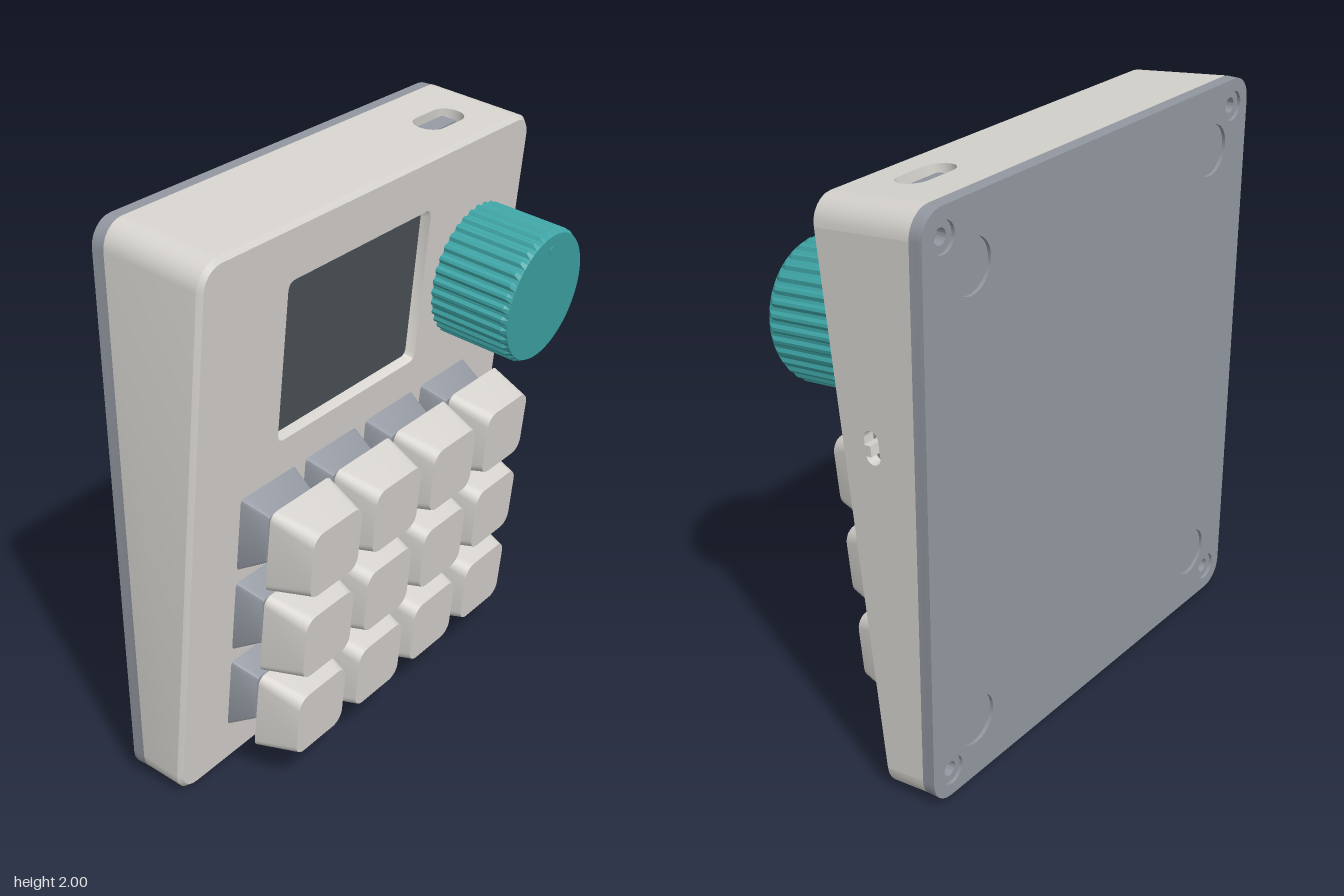
import * as THREE from 'three';
import { toCreasedNormals } from 'three/addons/utils/BufferGeometryUtils.js';

const mat = (name, color) => Object.assign(new THREE.MeshStandardMaterial({ color }), { name });

const TILT = 0.111, Z0 = -0.158;          // lean of the front panel and its foot
const H = 1.97, HW = 0.855, CX = -0.01, R = 0.085; // case height, half width, centre, corner radius
const SEAM = -0.31, BACK = -0.355;        // where the base plate starts and ends

// local depth of the seam plane at panel height v
const seamAt = (v) => (SEAM - Z0 - v * Math.sin(TILT)) / Math.cos(TILT);

// rounded rectangle, counter-clockwise from the +x end of the top right corner
function rect(cx, cy, w, h, r, z = 0, n = 6) {
  const pts = [];
  [[1, 1], [-1, 1], [-1, -1], [1, -1]].forEach(([sx, sy], k) => {
    for (let i = 0; i <= n; i++) {
      const a = (k + i / n) * Math.PI / 2;
      pts.push(new THREE.Vector3(cx + sx * (w / 2 - r) + r * Math.cos(a), cy + sy * (h / 2 - r) + r * Math.sin(a), z));
    }
  });
  return pts;
}

const flat = (pts, Type = THREE.Shape) => new Type(pts.map((p) => new THREE.Vector2(p.x, p.y)));

// skin through loops ordered front to back, with optional end caps and skipped edges
function loft(loops, { caps = false, skip = () => false, crease = 0.5 } = {}) {
  const out = [], n = loops[0].length;
  const tri = (...ps) => ps.forEach((p) => out.push(p.x, p.y, p.z));
  for (let l = 0; l + 1 < loops.length; l++) {
    for (let i = 0; i < n; i++) {
      if (skip(l, i)) continue;
      const j = (i + 1) % n, [a, b] = [loops[l], loops[l + 1]];
      tri(a[i], b[i], a[j]);
      tri(a[j], b[i], b[j]);
    }
  }
  if (caps) {
    [loops[0], loops[loops.length - 1]].forEach((loop, end) => {
      const c = loop.reduce((s, p) => s.add(p), new THREE.Vector3()).divideScalar(n);
      loop.forEach((p, i) => {
        const q = loop[(i + 1) % n];
        if (end) tri(c, q, p); else tri(c, p, q);
      });
    });
  }
  const g = new THREE.BufferGeometry();
  g.setAttribute('position', new THREE.Float32BufferAttribute(out, 3));
  return toCreasedNormals(g, crease);
}

const circle = (x, y, r) => new THREE.Path().absarc(x, y, r, 0, Math.PI * 2, true);

// knurled ring, 4 points per tooth
function knurl(r, groove, z, teeth = 36) {
  return Array.from({ length: teeth * 4 }, (_, i) => {
    const a = (i + 0.5) / (teeth * 4) * Math.PI * 2;
    const d = i % 4 < 2 ? r : r - groove;
    return new THREE.Vector3(Math.cos(a) * d, Math.sin(a) * d, z);
  });
}

export function createModel() {
  const shell = mat('warm grey', 0xd6d3ce);
  const slate = mat('slate grey', 0x9297a0);
  const teal = mat('teal', 0x3ea4a5);
  const glass = mat('dark glass', 0x4a5256);

  const model = new THREE.Group();
  const tilted = new THREE.Group();
  tilted.name = 'tiltedFront';
  tilted.position.z = Z0;
  tilted.rotation.x = TILT;
  model.add(tilted);

  const add = (parent, name, geo, material, x = 0, y = 0, z = 0) => {
    const m = new THREE.Mesh(geo, material);
    m.name = name;
    m.position.set(x, y, z);
    parent.add(m);
    return m;
  };
  const box = (parent, name, material, w, h, d, x, y, z) =>
    add(parent, name, new THREE.BoxGeometry(w, h, d), material, x, y, z);

  // case walls: chamfered rim, then sides running back to the seam
  const rim = 0.015, N = 6;
  const front = rect(CX, H / 2, 2 * HW - 2 * rim, H - 2 * rim, R - rim, 0, N);
  const edge = rect(CX, H / 2, 2 * HW, H, R, -rim, N);
  const seam = edge.map((p) => new THREE.Vector3(p.x, p.y, seamAt(p.y)));
  add(tilted, 'caseWalls', loft([front, edge, seam], {
    skip: (l, i) => l === 1 && (i === N || i === 4 * N + 3),
  }), shell);

  // flat top and left walls, with slots cut through
  const wall = (name, corners, slot) => {
    const shape = new THREE.Shape(corners.map(([x, y]) => new THREE.Vector2(x, y)));
    shape.holes.push(flat(slot, THREE.Path));
    const g = new THREE.ExtrudeGeometry(shape, { depth: 0.04, bevelEnabled: false }).translate(0, 0, -0.04);
    return add(tilted, name, toCreasedNormals(g, 0.5), shell);
  };
  const xr = HW - R;
  const top = wall('topWall',
    [[CX - xr, rim], [CX + xr, rim], [CX + xr, -seamAt(H)], [CX - xr, -seamAt(H)]],
    rect(0.528, 0.171, 0.22, 0.112, 0.0555));
  top.rotation.x = -Math.PI / 2;
  top.position.y = H;
  const side = wall('leftWall',
    [[rim, R], [-seamAt(R), R], [-seamAt(H - R), H - R], [rim, H - R]],
    rect(0.129, 1.229, 0.055, 0.11, 0.027));
  side.rotation.y = Math.PI / 2;
  side.position.x = CX + HW;

  // port and slider inside the slots
  box(tilted, 'portFloor', slate, 0.3, 0.01, 0.2, 0.528, H - 0.075, -0.171);
  box(tilted, 'circuitBoard', teal, 0.3, 0.02, 0.045, 0.528, H - 0.06, -0.132);
  box(tilted, 'portConnector', slate, 0.155, 0.05, 0.06, 0.528, H - 0.045, -0.178);
  box(tilted, 'sliderFloor', slate, 0.01, 0.15, 0.09, 0.8, 1.229, -0.129);
  box(tilted, 'sliderSwitch', shell, 0.07, 0.035, 0.025, 0.83, 1.229, -0.129);

  // front panel with a bevelled screen opening
  const screenOuter = rect(-0.094, 1.499, 0.74, 0.563, 0.025, 0, 2);
  const screenInner = rect(-0.094, 1.499, 0.712, 0.535, 0.02, -0.03, 2);
  const panel = flat(front);
  panel.holes.push(flat(screenOuter, THREE.Path));
  add(tilted, 'frontPanel', new THREE.ShapeGeometry(panel), shell);
  add(tilted, 'screenBezel', loft([screenInner, screenOuter]), shell);
  add(tilted, 'screen', new THREE.ShapeGeometry(flat(screenInner)), glass, 0, 0, -0.03);

  // knurled knob with a small marker
  const knob = new THREE.Group();
  knob.name = 'knob';
  knob.position.set(0.525, 1.493, 0);
  tilted.add(knob);
  add(knob, 'knobBody', loft(
    [knurl(0.226, 0, 0.327), knurl(0.238, 0.009, 0.307), knurl(0.238, 0.009, 0.03)],
    { caps: true, crease: 0.35 }), teal);
  add(knob, 'knobMarker', new THREE.CylinderGeometry(0.015, 0.015, 0.004, 20).rotateX(Math.PI / 2), teal, 0, 0.172, 0.328);

  // twelve keys: housing, cross stem and tapered cap
  const capGeo = loft([rect(0, 0, 0.247, 0.24, 0.045, 0.282), rect(0, 0, 0.305, 0.3, 0.03, 0.131)], { caps: true });
  const housingGeo = loft([rect(0, 0.01, 0.22, 0.178, 0.015, 0.093, 2), rect(0, -0.004, 0.272, 0.274, 0.015, 0, 2)], { caps: true });
  for (let row = 0; row < 3; row++) {
    for (let col = 0; col < 4; col++) {
      const key = new THREE.Group();
      key.name = 'key';
      key.position.set(-0.495 + col * 0.324, 0.305 + row * 0.324, 0);
      add(key, 'switchHousing', housingGeo, slate);
      box(key, 'stemBar', slate, 0.066, 0.022, 0.05, 0, 0, 0.112);
      box(key, 'stemPost', slate, 0.022, 0.066, 0.05, 0, 0, 0.112);
      add(key, 'keycap', capGeo, shell);
      tilted.add(key);
    }
  }

  // base plate in two layers: round foot recesses and counterbored screw holes
  const y0 = 0.017, y1 = 1.999, cy = (y0 + y1) / 2;
  const spots = (inset) => [1, -1].flatMap((sx) => [1, -1].map((sy) =>
    [CX + sx * (HW - inset), cy + sy * ((y1 - y0) / 2 - inset)]));
  const layer = (name, z, depth, holes) => {
    const s = flat(rect(CX, cy, 2 * HW, y1 - y0, R));
    holes.forEach(([x, y, r]) => s.holes.push(circle(x, y, r)));
    const g = new THREE.ExtrudeGeometry(s, { depth, bevelEnabled: false, curveSegments: 24 });
    add(model, name, toCreasedNormals(g, 0.5), slate, 0, 0, z);
  };
  const screws = spots(0.092), feet = spots(0.215);
  layer('basePlateOuter', BACK, 0.012, [...screws.map((p) => [...p, 0.05]), ...feet.map((p) => [...p, 0.088])]);
  layer('basePlateInner', BACK + 0.012, SEAM - BACK - 0.012, screws.map((p) => [...p, 0.026]));
  screws.forEach(([x, y]) =>
    add(model, 'screw', new THREE.CylinderGeometry(0.03, 0.03, 0.01, 20).rotateX(Math.PI / 2), slate, x, y, SEAM + 0.004));

  return model;
}
